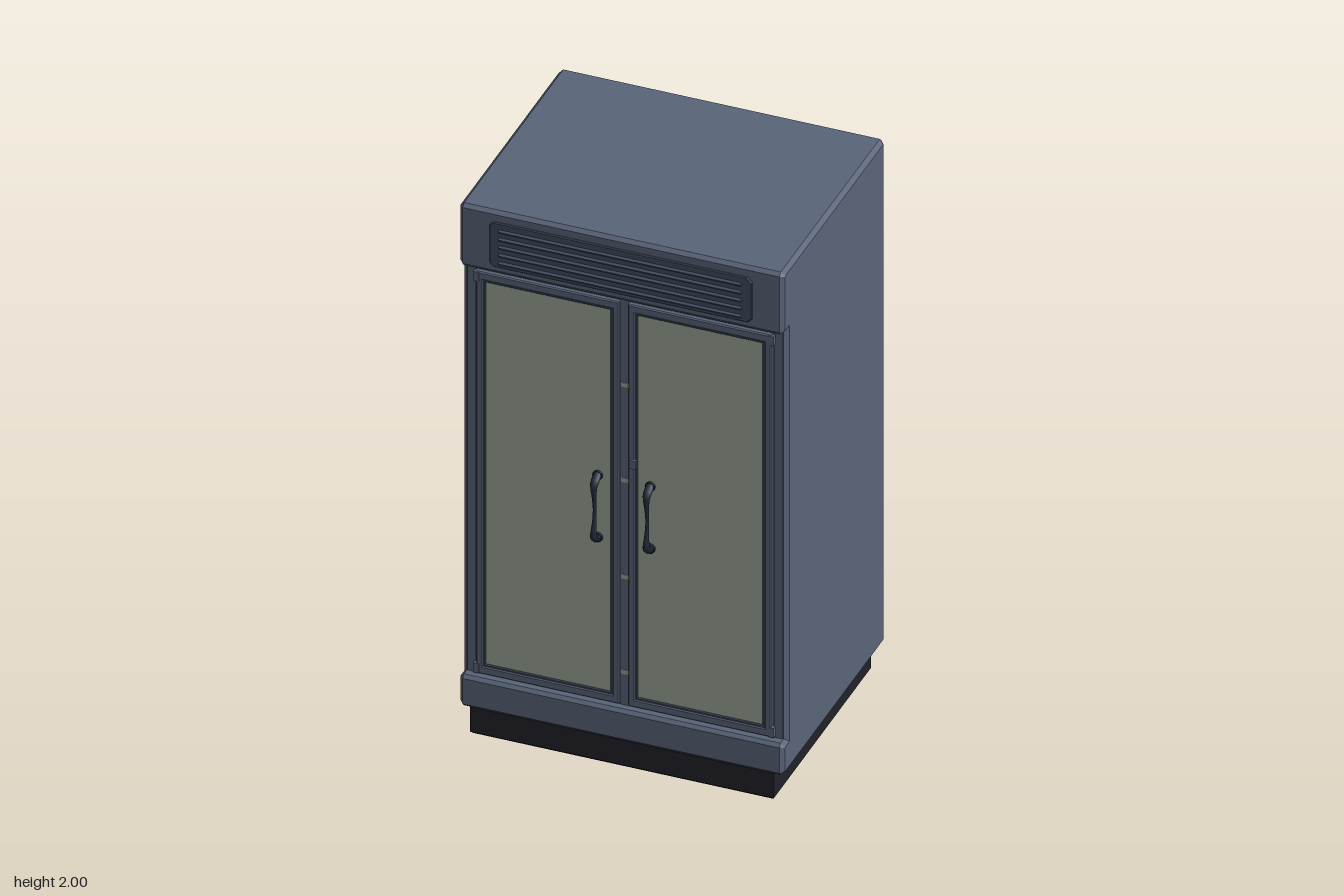
import * as THREE from 'three';

const mat = (name, color) => {
  const m = new THREE.MeshStandardMaterial({ color });
  m.name = name;
  return m;
};

export function createModel() {
  const group = new THREE.Group();
  const steel = mat('blue grey steel', 0x5a6479);
  const ventGrey = mat('dark vent', 0x414b60);
  const glass = mat('pale glass', 0x9ca799);
  const black = mat('black plinth', 0x212129);
  const handleDark = mat('dark handle', 0x222938);

  const add = (name, geometry, material, x = 0, y = 0, z = 0, parent = group) => {
    const mesh = new THREE.Mesh(geometry, material);
    mesh.name = name;
    mesh.position.set(x, y, z);
    parent.add(mesh);
    return mesh;
  };
  const box = (name, w, h, d, material, x, y, z, parent) =>
    add(name, new THREE.BoxGeometry(w, h, d), material, x, y, z, parent);
  const polygon = pts => new THREE.Shape(pts.map(p => new THREE.Vector2(...p)));
  const rect = (x0, y0, x1, y1) => polygon([[x0, y0], [x1, y0], [x1, y1], [x0, y1]]);
  // Extrusion of exact outline and total depth, with chamfered ends
  const chamfered = (shape, depth, b) => new THREE.ExtrudeGeometry(shape, {
    depth: depth - 2 * b, bevelEnabled: true, bevelThickness: b, bevelSize: b,
    bevelOffset: -b, bevelSegments: 1, curveSegments: 4,
  }).translate(0, 0, b);

  // Cabinet: side profile (z, y) with a shallow recess for the doors
  const c = 0.012;
  const cabinet = chamfered(polygon([
    [-0.443 + c, 0.1], [0.42 - c, 0.1], [0.42, 0.1 + c], [0.42, 0.208], [0.41, 0.22], [0.383, 0.22],
    [0.383, 1.765], [0.41, 1.765], [0.42, 1.777], [0.42, 2 - c], [0.42 - c, 2],
    [-0.443 + c, 2], [-0.443, 2 - c], [-0.443, 0.1 + c],
  ]), 1.112, 0.014).rotateY(-Math.PI / 2).translate(0.556, 0, 0);
  add('cabinet', cabinet, steel);

  // Plinth
  const plinth = chamfered(rect(-0.52, -0.412, 0.52, 0.412), 0.11, 0.008).rotateX(-Math.PI / 2);
  add('plinth', plinth, black);

  // Vent panel with slanted louvres
  const vent = new THREE.Group();
  vent.name = 'vent';
  group.add(vent);
  const v = 0.015;
  add('ventPanel', chamfered(polygon([
    [-0.45 + v, 1.793], [0.45 - v, 1.793], [0.45, 1.793 + v], [0.45, 1.962 - v],
    [0.45 - v, 1.962], [-0.45 + v, 1.962], [-0.45, 1.962 - v], [-0.45, 1.793 + v],
  ]), 0.012, 0.003), ventGrey, 0, 0, 0.414, vent);
  for (let i = 0; i < 5; i++) {
    const slat = box('louvre', 0.83, 0.007, 0.018, ventGrey, 0, 1.815 + i * 0.03, 0.426, vent);
    slat.rotation.x = 0.35;
  }

  // Centre mullion with the shelf edges showing in the door gap
  box('mullion', 0.03, 1.545, 0.01, steel, 0, 0.992, 0.383);
  for (const y of [0.345, 0.705, 1.07, 1.43]) {
    box('shelfEdge', 0.024, 0.016, 0.006, glass, 0, y, 0.387);
  }

  for (const s of [-1, 1]) {
    const door = new THREE.Group();
    door.name = s > 0 ? 'leftDoor' : 'rightDoor';
    door.position.x = s * 0.26;
    group.add(door);

    // Door frame, inner moulding and glass
    const frame = rect(-0.245, 0.226, 0.245, 1.745);
    frame.holes.push(rect(-0.222, 0.256, 0.222, 1.715));
    add('doorFrame', chamfered(frame, 0.022, 0.004), steel, 0, 0, 0.378, door);
    const bead = rect(-0.225, 0.253, 0.225, 1.718);
    bead.holes.push(rect(-0.214, 0.264, 0.214, 1.707));
    add('glassBead', chamfered(bead, 0.015, 0.003), ventGrey, 0, 0, 0.382, door);
    box('glassPane', 0.436, 1.45, 0.008, glass, 0, 0.985, 0.388, door);

    // Side trim and hinges
    box('sideTrim', 0.028, 1.54, 0.01, steel, s * 0.525, 0.992, 0.383);
    for (const y of [0.245, 1.725]) box('hinge', 0.02, 0.035, 0.02, steel, s * 0.505, y, 0.391);

    // Pull handle: bent tube that narrows toward the middle
    const path = new THREE.CatmullRomCurve3([
      [0.835, 0.394], [0.843, 0.41], [0.86, 0.428], [0.9, 0.426], [0.955, 0.422],
      [1.01, 0.426], [1.05, 0.428], [1.067, 0.41], [1.075, 0.394],
    ].map(([y, z]) => new THREE.Vector3(0, y, z)));
    const segments = 32, sides = 8;
    const tube = new THREE.TubeGeometry(path, segments, 0.012, sides);
    const p = tube.attributes.position, point = new THREE.Vector3();
    for (let i = 0; i < p.count; i++) {
      const t = Math.floor(i / (sides + 1)) / segments;
      const centre = path.getPointAt(t);
      const k = 0.5 + 0.7 * Math.min(1, Math.pow(Math.abs(t - 0.5) * 2.6, 2));
      point.fromBufferAttribute(p, i).sub(centre).multiplyScalar(k).add(centre);
      p.setXYZ(i, point.x, point.y, point.z);
    }
    tube.computeVertexNormals();
    add('handle', tube, handleDark, s * 0.09, 0, 0);
    for (const y of [0.838, 1.072]) {
      const mount = new THREE.CylinderGeometry(0.017, 0.017, 0.012, 12).rotateX(Math.PI / 2);
      add('handleMount', mount, handleDark, s * 0.09, y, 0.395);
    }
  }

  // Small latch beside the door gap
  box('latch', 0.022, 0.032, 0.016, steel, 0.033, 1.147, 0.4);

  return group;
}
